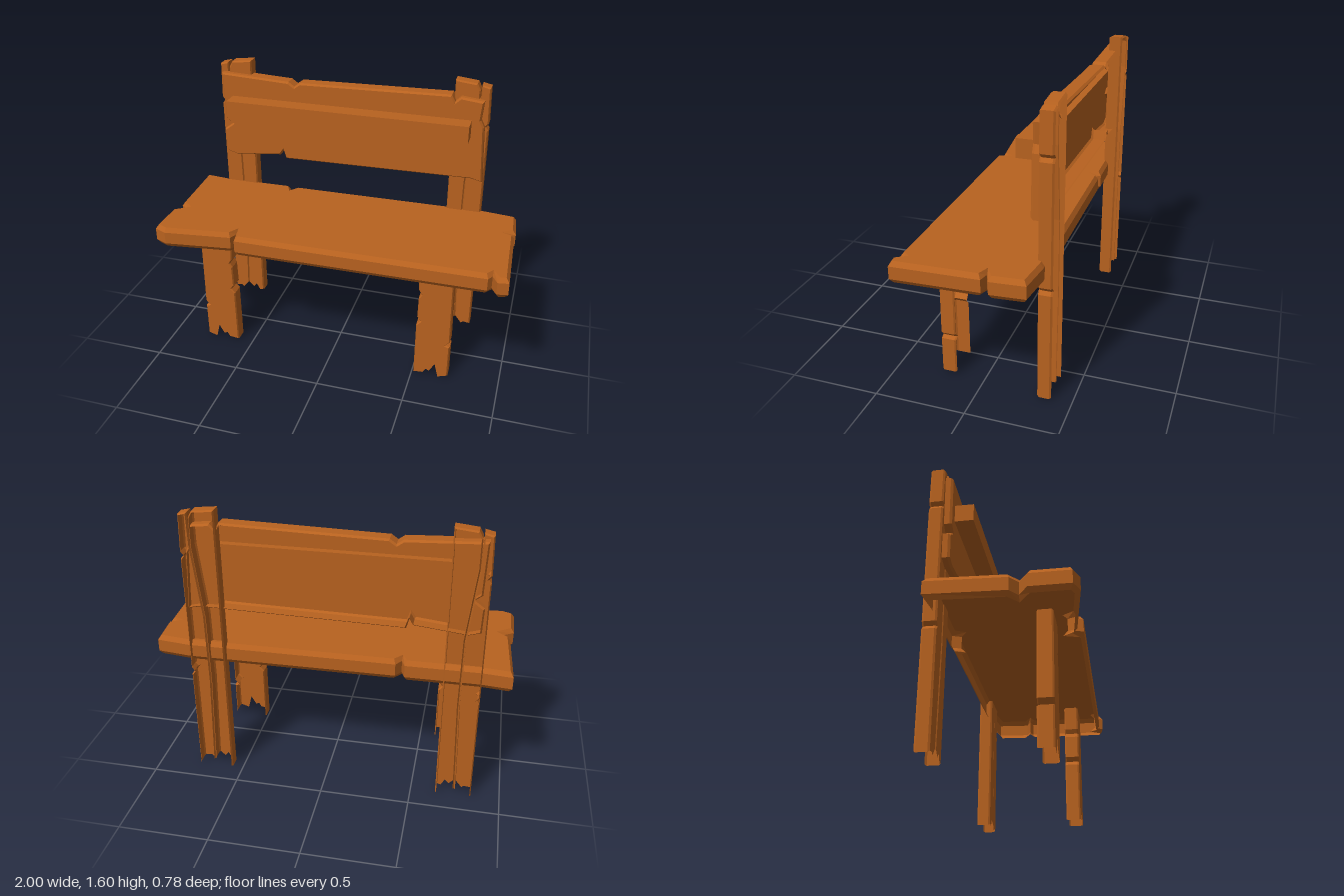
import * as THREE from 'three';

const wood = new THREE.MeshStandardMaterial({ color: 0xb8621f, flatShading: true, side: THREE.DoubleSide });

// Hollow bevelled plank: outline extruded to +z, open at the back (and optionally at its jagged foot)
function plank(name, outline, thickness, bevel, openFoot = false) {
  const shape = new THREE.Shape(outline.map(([x, y]) => new THREE.Vector2(x, y)));
  const bt = bevel * 1.4;
  const geo = new THREE.ExtrudeGeometry(shape, {
    depth: thickness - 2 * bt, bevelThickness: bt, bevelSize: bevel, bevelOffset: -bevel, bevelSegments: 1,
  });
  geo.translate(0, 0, bt);
  const pos = geo.attributes.position;
  const kept = [];
  const tri = new THREE.Triangle();
  const n = new THREE.Vector3();
  for (let i = 0; i < pos.count; i += 3) {
    tri.setFromAttributeAndIndices(pos, i, i + 1, i + 2);
    const corners = [tri.a, tri.b, tri.c];
    tri.getNormal(n);
    const back = corners.every((p) => p.z < 1e-4);
    const foot = openFoot && Math.abs(n.z) < 0.95 && corners.every((p) => p.y < 0.1);
    if (!back && !foot) corners.forEach((p) => kept.push(p.x, p.y, p.z));
  }
  const shell = new THREE.BufferGeometry();
  shell.setAttribute('position', new THREE.Float32BufferAttribute(kept, 3));
  shell.computeVertexNormals();
  const mesh = new THREE.Mesh(shell, wood);
  mesh.name = name;
  return mesh;
}

// Supports are mirrored about x = -0.04
const mirror = (pts) => pts.map(([x, y]) => [-0.08 - x, y]);

const seatOutline = [
  [-1, -0.35], [-0.84, -0.335], [-0.43, -0.34], [-0.41, -0.29], [-0.38, -0.335], [0.78, -0.348],
  [0.97, -0.325], [0.985, -0.14], [0.925, -0.112], [0.98, -0.1], [1, 0.37], [0.94, 0.38],
  [0.91, 0.325], [0.89, 0.358], [-0.515, 0.37], [-0.53, 0.29], [-0.55, 0.34], [-0.93, 0.39],
  [-1, 0.36], [-1, 0.15], [-0.925, 0.1], [-0.98, 0.06],
];

const backrestOutline = [
  [-0.815, 1.535], [-0.4, 1.515], [-0.365, 1.49], [-0.33, 1.515], [0.55, 1.533], [0.57, 1.495],
  [0.6, 1.525], [0.73, 1.51], [0.72, 1.4], [0.74, 1.36], [0.755, 1.03], [0.69, 1.045],
  [-0.43, 1.03], [-0.445, 1.085], [-0.465, 1.05], [-0.75, 1.02], [-0.815, 1.04], [-0.82, 1.18],
  [-0.765, 1.22], [-0.805, 1.25],
];

// Rear post: two split strips side by side
const outerStrip = [
  [-0.84, 0.01], [-0.8, 0.015], [-0.785, 0], [-0.745, 0.05], [-0.73, 0.6], [-0.735, 1.0],
  [-0.78, 1.4], [-0.785, 1.59], [-0.835, 1.578], [-0.84, 1.37], [-0.825, 1.35], [-0.84, 1.33],
  [-0.84, 0.67], [-0.825, 0.65], [-0.84, 0.63],
];
const innerStrip = [
  [-0.745, 0.05], [-0.71, 0.015], [-0.69, 0.04], [-0.67, 0], [-0.64, 0.01], [-0.64, 1.61],
  [-0.76, 1.597], [-0.78, 1.56], [-0.78, 1.4], [-0.735, 1.0], [-0.73, 0.6],
];

const legOutline = [
  [-0.79, 0.02], [-0.73, 0], [-0.712, 0.085], [-0.685, 0.03], [-0.665, 0.04], [-0.65, 0.015],
  [-0.59, 0.01], [-0.592, 0.35], [-0.615, 0.375], [-0.595, 0.4], [-0.598, 0.53], [-0.612, 0.555],
  [-0.597, 0.58], [-0.59, 0.72], [-0.785, 0.72], [-0.79, 0.26], [-0.765, 0.235], [-0.79, 0.225],
];

export function createModel() {
  const bench = new THREE.Group();
  bench.name = 'bench';

  // Seat slab, hollow underneath
  const seat = plank('seat', seatOutline.map(([x, z]) => [x, -z]), 0.12, 0.018);
  seat.rotation.x = -Math.PI / 2;
  seat.position.y = 0.7;
  bench.add(seat);

  // Backrest board and the bar across it
  const backrest = plank('backrest', backrestOutline, 0.092, 0.009);
  backrest.position.z = -0.363;
  const bar = new THREE.Mesh(new THREE.BoxGeometry(1.42, 0.1, 0.14), wood);
  bar.name = 'backrestBar';
  bar.position.set(-0.04, 1.35, -0.24);
  bench.add(backrest, bar);

  // Rear posts and front legs on both sides
  for (const [side, place] of [['right', (p) => p], ['left', mirror]]) {
    const post = new THREE.Group();
    post.name = side + 'RearPost';
    post.add(
      plank('outerStrip', place(outerStrip), 0.076, 0.007, true),
      plank('innerStrip', place(innerStrip), 0.078, 0.007, true),
    );
    post.position.z = -0.388;
    const leg = plank(side + 'FrontLeg', place(legOutline), 0.083, 0.006, true);
    leg.position.z = 0.162;
    bench.add(post, leg);
  }
  return bench;
}
